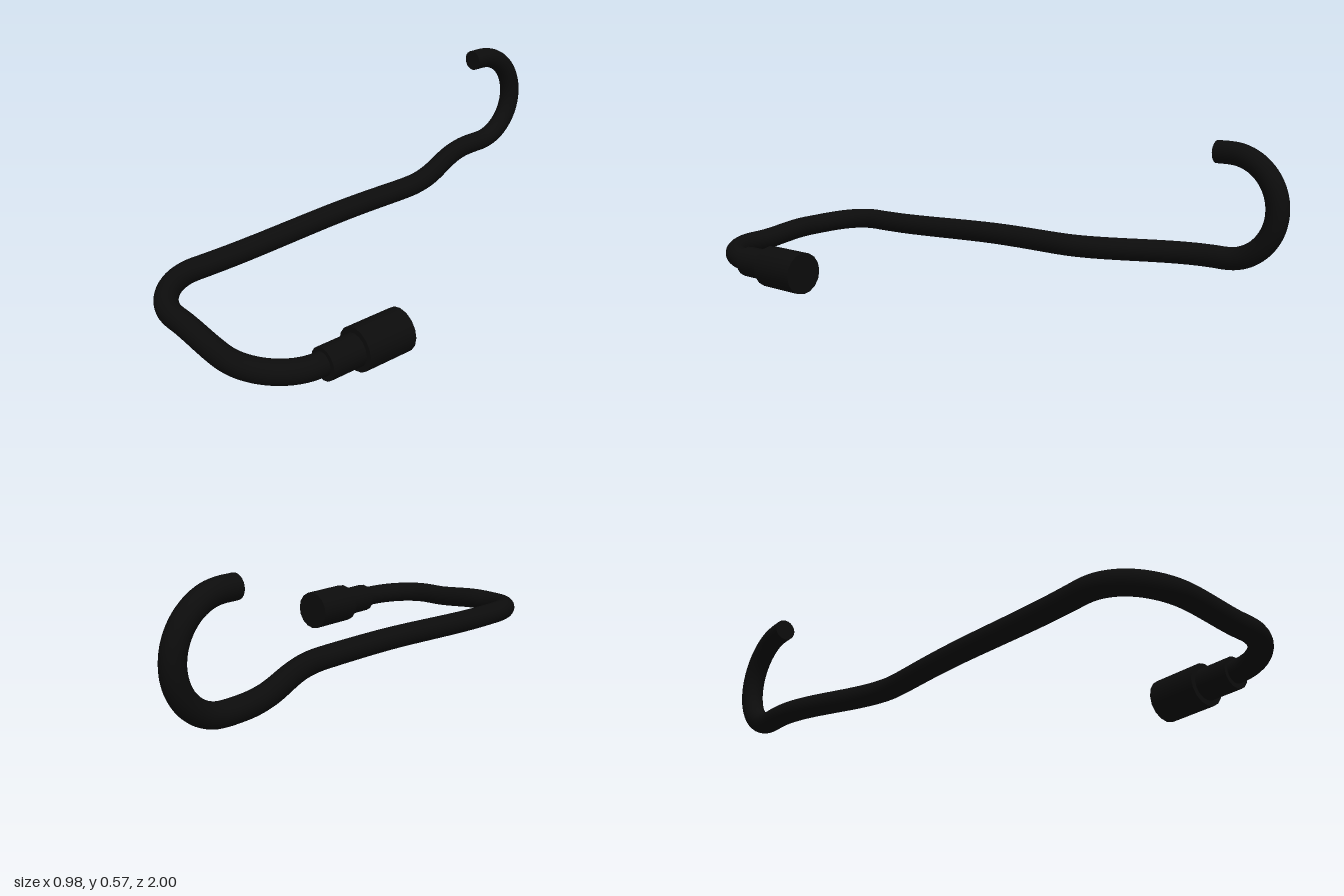
import * as THREE from 'three';

const PIPE_RADIUS = 0.04;

// Smooth height of the lower run: keys are [position, y]
function ease(t) {
  return t * t * (3 - 2 * t);
}

function buildPath() {
  const pts = [];
  const add = (x, y, z) => pts.push(new THREE.Vector3(x, y, z));

  // upright hook at the back
  add(-0.45, 0.53, -0.73);
  add(-0.45, 0.53, -0.755);
  for (let i = 0; i <= 16; i++) {
    const a = (i / 16) * Math.PI;
    add(-0.45, 0.3465 + 0.1835 * Math.cos(a), -0.777 - 0.1835 * Math.sin(a));
  }

  // sideways S-bend
  for (let i = 0; i <= 12; i++) {
    const t = i / 12;
    add(-0.45 + 0.175 * (0.5 - 0.5 * Math.cos(Math.PI * t)), 0.163, -0.74 + 0.55 * t);
  }

  // long straight run, sinking slightly towards the front
  for (let i = 0; i <= 6; i++) {
    const t = i / 6;
    add(-0.275, 0.163 - 0.025 * ease(t), 0.0 + 0.72 * t);
  }

  // first front corner
  for (let i = 0; i <= 10; i++) {
    const t = i / 10, a = t * Math.PI / 2;
    const x = -0.07 - 0.205 * Math.cos(a);
    add(x, 0.138 - 0.024 * Math.sin((x + 0.275) / 0.205 * Math.PI / 2), 0.752 + 0.205 * Math.sin(a));
  }

  // front cross run
  for (let i = 1; i <= 6; i++) {
    const t = i / 7;
    add(-0.07 + 0.27 * t, 0.114 - 0.023 * ease(t), 0.957);
  }

  // second front corner and stub into the connector
  for (let i = 0; i <= 10; i++) {
    const t = i / 10, a = t * Math.PI / 2;
    add(0.2 + 0.208 * Math.sin(a), 0.091 - 0.014 * ease(t), 0.752 + 0.205 * Math.cos(a));
  }
  add(0.408, 0.077, 0.7);
  return new THREE.CatmullRomCurve3(pts, false, 'centripetal');
}

export function createModel() {
  const model = new THREE.Group();
  const black = new THREE.MeshStandardMaterial({ color: 0x0c0c0c });
  black.name = 'black rubber';

  const addMesh = (name, geometry) => {
    const mesh = new THREE.Mesh(geometry, black);
    mesh.name = name;
    model.add(mesh);
    return mesh;
  };

  // bent pipe
  const path = buildPath();
  path.arcLengthDivisions = 1000;
  addMesh('pipe', new THREE.TubeGeometry(path, 240, PIPE_RADIUS, 24, false));

  // flat cap closing the hook end
  const cap = addMesh('hookEndCap', new THREE.CircleGeometry(PIPE_RADIUS, 24));
  cap.position.set(-0.45, 0.53, -0.73);

  // stepped connector: [name, radius, back z, front z]
  const steps = [
    ['connectorCollar', 0.056, 0.61, 0.745],
    ['connectorHead', 0.0755, 0.435, 0.62],
  ];
  for (const [name, radius, back, front] of steps) {
    const geometry = new THREE.CylinderGeometry(radius, radius, front - back, 16);
    geometry.rotateX(Math.PI / 2);
    addMesh(name, geometry).position.set(0.41, 0.0755, (back + front) / 2);
  }

  return model;
}
